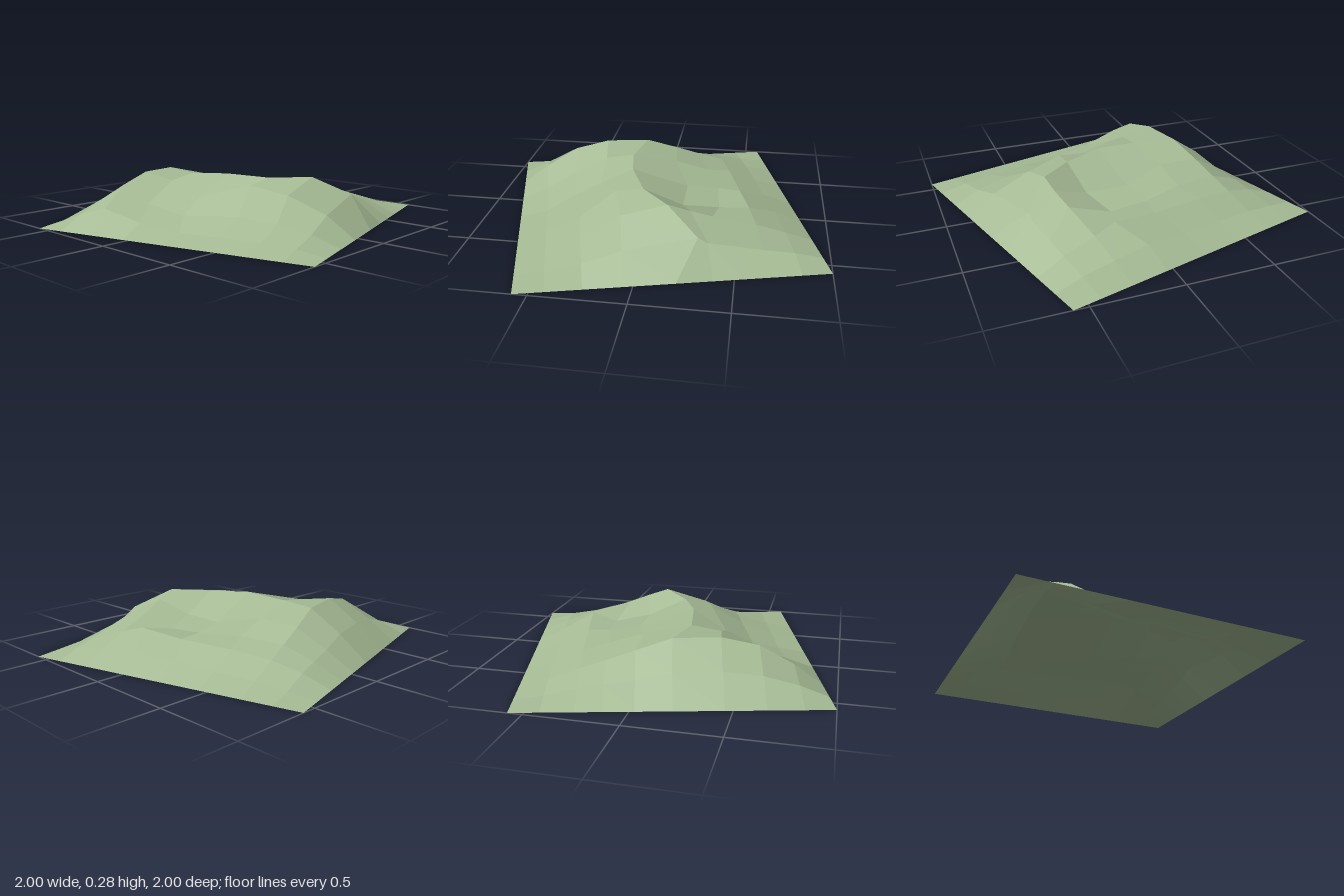
import * as THREE from 'three';

// Grid lines of the patch, closer together towards the rim
const COLUMNS = [-0.8175, -0.66, -0.485, -0.25, 0, 0.25, 0.47, 0.66, 0.8175];
const ROWS = [-0.8175, -0.66, -0.49, -0.35, -0.19, 0, 0.26, 0.47, 0.66, 0.8175];
const TURN = 0.26;

// Heights in hundredths, rows from back to front, columns from right to left side
const HEIGHTS = [
  [0, 0, 0, 0, 0, 0, 0, 0, 0],
  [0, 2, 4, 5, 6, 7.5, 6, 4, 0],
  [0, 6, 10, 12, 13, 15.5, 12, 7, 0],
  [0, 8, 14.5, 15, 14, 12.5, 18.5, 10, 0],
  [0, 10, 20, 21, 16, 16, 23, 13, 0],
  [0, 14, 26.5, 26, 27.7, 26.5, 27, 16.5, 0],
  [0, 14.5, 27, 23.5, 16.5, 24, 20, 11.5, 0],
  [0, 12, 22.5, 13, 8.5, 10.5, 9, 5.5, 0],
  [0, 6.5, 11.5, 6, 3, 3.5, 3, 2.5, 0],
  [0, 0, 0, 0, 0, 0, 0, 0, 0],
];

// Grid points (row,column) moved to x, z: spur, hollow, crest, front slope
const MOVED = {
  '2,4': [-0.06, -0.49], '2,5': [0.2, -0.55],
  '3,3': [-0.3, -0.27], '3,4': [-0.06, -0.36], '3,5': [0.16, -0.38], '3,6': [0.39, -0.36],
  '4,3': [-0.27, -0.08], '4,4': [-0.02, -0.18], '4,5': [0.23, -0.18], '4,6': [0.43, -0.24],
  '5,2': [-0.46, 0.13], '5,3': [-0.21, 0.18], '5,4': [0.04, 0.14],
  '5,5': [0.27, 0.04], '5,7': [0.6, -0.3],
  '6,2': [-0.4, 0.38], '6,3': [-0.2, 0.35], '6,4': [0.02, 0.34],
  '6,5': [0.27, 0.2], '6,6': [0.48, 0.13],
  '7,3': [-0.18, 0.55], '7,4': [0.05, 0.5],
};

function gridPoint(row, col) {
  const u = COLUMNS[col];
  const v = ROWS[row];
  const [x, z] = MOVED[`${row},${col}`] ?? [
    u * Math.cos(TURN) + v * Math.sin(TURN),
    v * Math.cos(TURN) - u * Math.sin(TURN),
  ];
  return new THREE.Vector3(x, HEIGHTS[row][col] / 100, z);
}

// Four-cornered facets, each with a single normal
function terrainGeometry() {
  const positions = [];
  const normals = [];
  const index = [];
  for (let row = 0; row < ROWS.length - 1; row++) {
    for (let col = 0; col < COLUMNS.length - 1; col++) {
      const a = gridPoint(row, col);
      const b = gridPoint(row + 1, col);
      const c = gridPoint(row + 1, col + 1);
      const d = gridPoint(row, col + 1);
      const normal = c.clone().sub(a).cross(d.clone().sub(b)).normalize();
      const start = positions.length / 3;
      for (const p of [a, b, c, d]) {
        positions.push(p.x, p.y, p.z);
        normals.push(normal.x, normal.y, normal.z);
      }
      index.push(start, start + 1, start + 3, start + 1, start + 2, start + 3);
    }
  }
  const geometry = new THREE.BufferGeometry();
  geometry.setAttribute('position', new THREE.Float32BufferAttribute(positions, 3));
  geometry.setAttribute('normal', new THREE.Float32BufferAttribute(normals, 3));
  geometry.setIndex(index);
  return geometry;
}

export function createModel() {
  const group = new THREE.Group();
  group.name = 'hill';

  // Open faceted hillside sheet
  const material = new THREE.MeshStandardMaterial({ color: 0xa6bb95, side: THREE.DoubleSide });
  const terrain = new THREE.Mesh(terrainGeometry(), material);
  terrain.name = 'terrain';
  group.add(terrain);
  return group;
}
